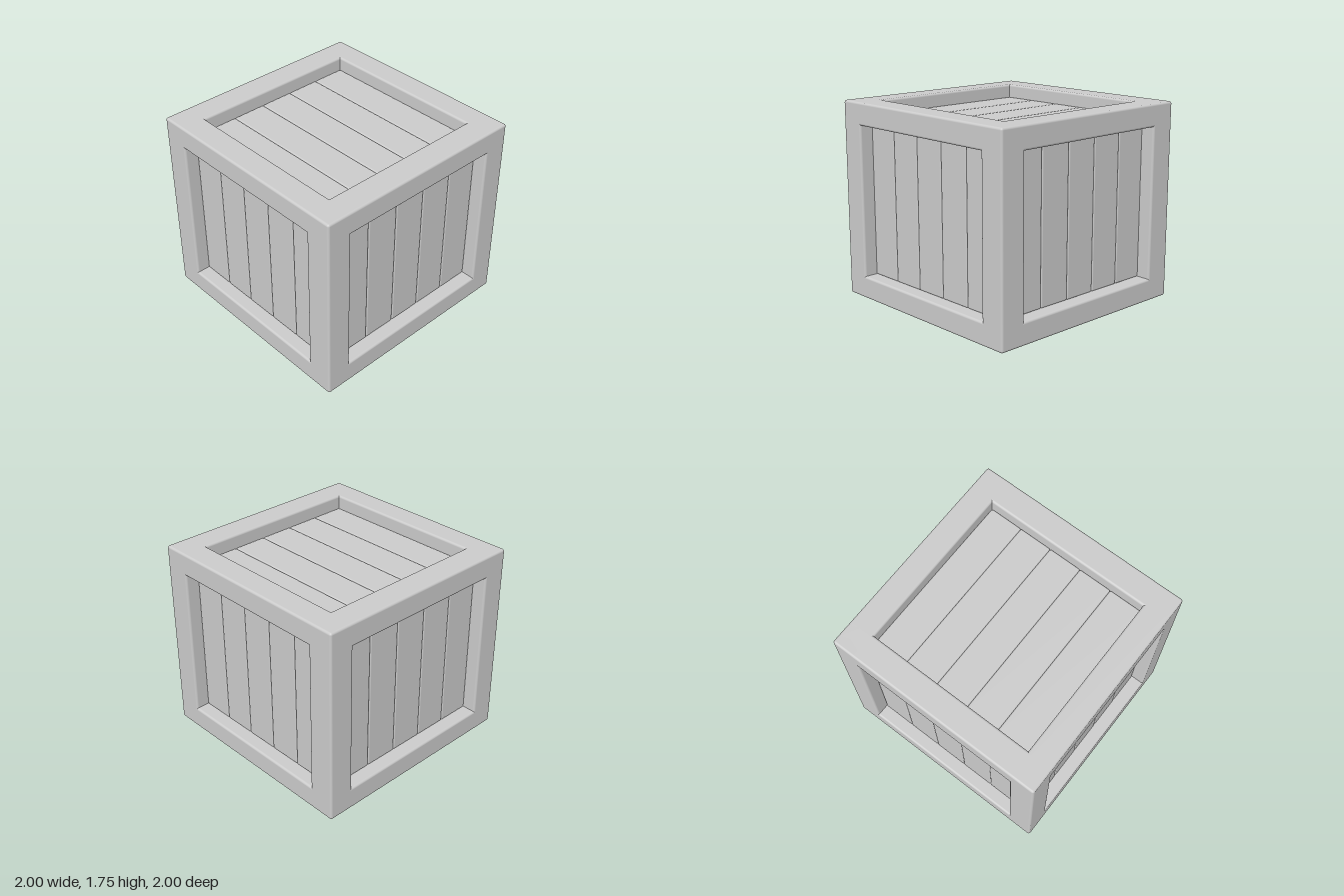
import * as THREE from 'three';
import { RoundedBoxGeometry } from 'three/addons/geometries/RoundedBoxGeometry.js';

const W = 2, H = 1.75, D = 2;            // outer size
const BX = 0.23, BY = 0.2, BZ = 0.24;    // frame beam thickness along x, y, z
const RECESS = 0.12, THICK = 0.07;       // depth of the panels and thickness of their planks
const PLANKS = 5;

export function createModel() {
  const crate = new THREE.Group();
  crate.name = 'crate';
  const material = new THREE.MeshStandardMaterial({ color: 0xcccccc });

  function roundedBox(name, size, position, radius, parent) {
    const mesh = new THREE.Mesh(new RoundedBoxGeometry(...size, 3, radius), material);
    mesh.name = name;
    mesh.position.set(...position);
    parent.add(mesh);
  }

  // Frame: twelve full-length beams that meet flush at the corners
  const frame = new THREE.Group();
  frame.name = 'frame';
  crate.add(frame);
  const x = (W - BX) / 2, y = (H - BY) / 2, z = (D - BZ) / 2, mid = H / 2;
  for (const a of [-1, 1]) {
    for (const b of [-1, 1]) {
      roundedBox('cornerPost', [BX, H, BZ], [a * x, mid, b * z], 0.02, frame);
      roundedBox('crossRail', [W, BY, BZ], [0, mid + a * y, b * z], 0.02, frame);
      roundedBox('sideRail', [BX, BY, D], [a * x, mid + b * y, 0], 0.02, frame);
    }
  }

  // Panels: recessed rows of planks filling each opening
  const openX = W - 2 * BX, openY = H - 2 * BY, openZ = D - 2 * BZ;
  const inset = RECESS + THICK / 2;

  function panel(name, place) {
    const group = new THREE.Group();
    group.name = name;
    crate.add(group);
    for (let i = 0; i < PLANKS; i++) {
      const { size, position } = place((i + 0.5) / PLANKS - 0.5);
      roundedBox('plank', size, position, 0.015, group);
    }
  }

  for (const s of [-1, 1]) {
    panel(s > 0 ? 'frontPanel' : 'backPanel', (t) => ({
      size: [openX / PLANKS, openY, THICK],
      position: [t * openX, mid, s * (D / 2 - inset)],
    }));
    panel(s > 0 ? 'leftPanel' : 'rightPanel', (t) => ({
      size: [THICK, openY, openZ / PLANKS],
      position: [s * (W / 2 - inset), mid, t * openZ],
    }));
    panel(s > 0 ? 'topPanel' : 'bottomPanel', (t) => ({
      size: [openX / PLANKS, THICK, openZ],
      position: [t * openX, mid + s * (H / 2 - inset), 0],
    }));
  }
  return crate;
}
